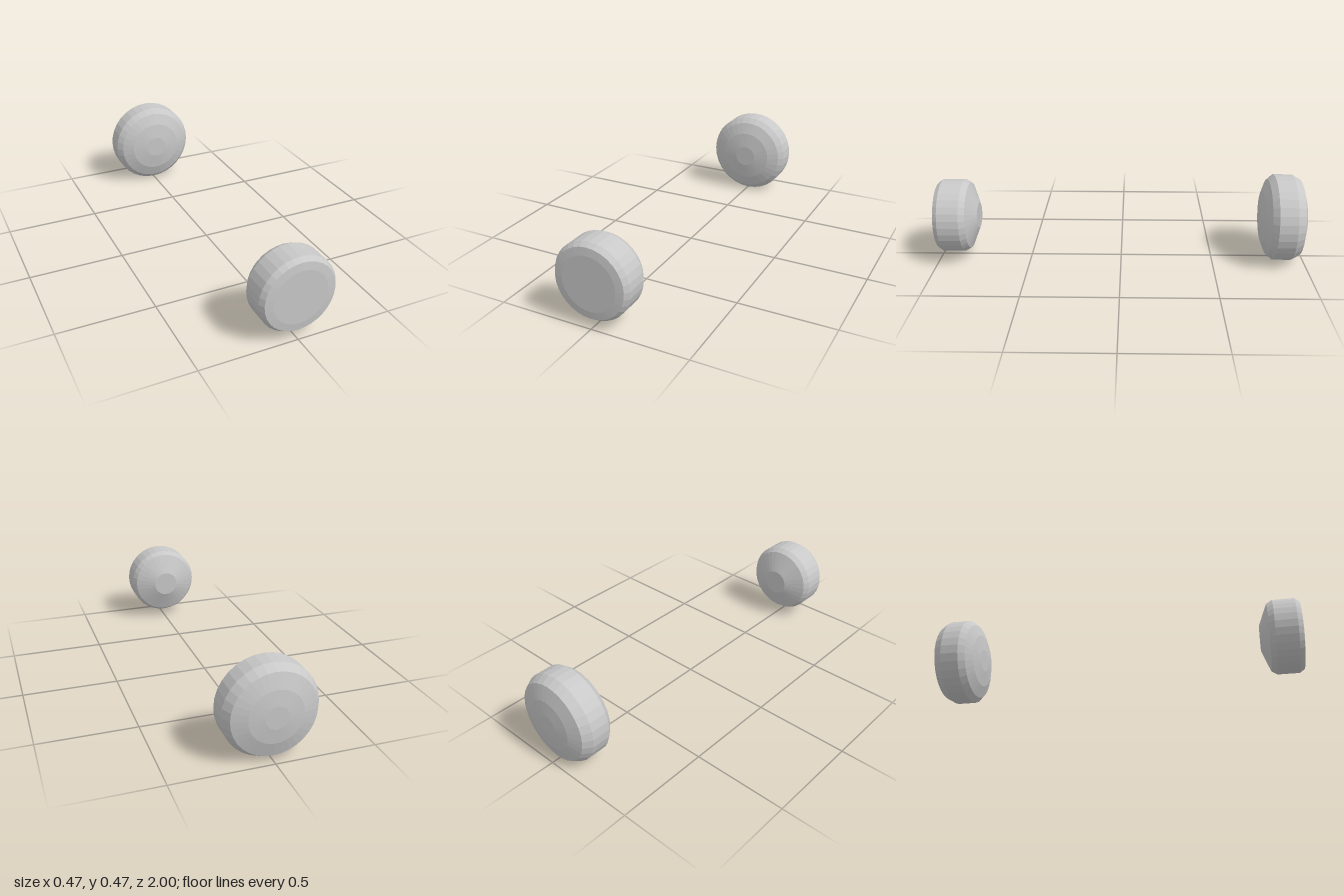
import * as THREE from 'three';

const SEGMENTS = 32;
const CENTRE_Y = 0.234;

// Faceted wheel from [radius, z] pairs listed back to front, turned about the z axis
function makeWheel(name, profile, material) {
  const points = profile.map(([r, z]) => new THREE.Vector2(r, z));
  const lathe = new THREE.LatheGeometry(points, SEGMENTS);
  lathe.rotateX(Math.PI / 2);
  const geometry = lathe.toNonIndexed();
  geometry.computeVertexNormals();
  const mesh = new THREE.Mesh(geometry, material);
  mesh.name = name;
  mesh.position.y = CENTRE_Y;
  return mesh;
}

export function createModel() {
  const group = new THREE.Group();
  group.name = 'wheelPair';

  const grey = new THREE.MeshStandardMaterial({ color: 0xc8c8c8, flatShading: true });
  grey.name = 'wheelGrey';

  // Front wheel: flat face in front, blunt cone behind
  group.add(makeWheel('frontWheel', [
    [0, 0.78], [0.07, 0.78], [0.18, 0.825], [0.198, 0.855],
    [0.198, 0.97], [0.181, 0.995], [0.141, 1], [0, 1],
  ], grey));

  // Rear wheel: larger, with stepped domes on both sides
  group.add(makeWheel('rearWheel', [
    [0, -1], [0.057, -1], [0.133, -0.991], [0.208, -0.968], [0.234, -0.923],
    [0.234, -0.825], [0.207, -0.794], [0.145, -0.769], [0.061, -0.756], [0, -0.756],
  ], grey));

  return group;
}
